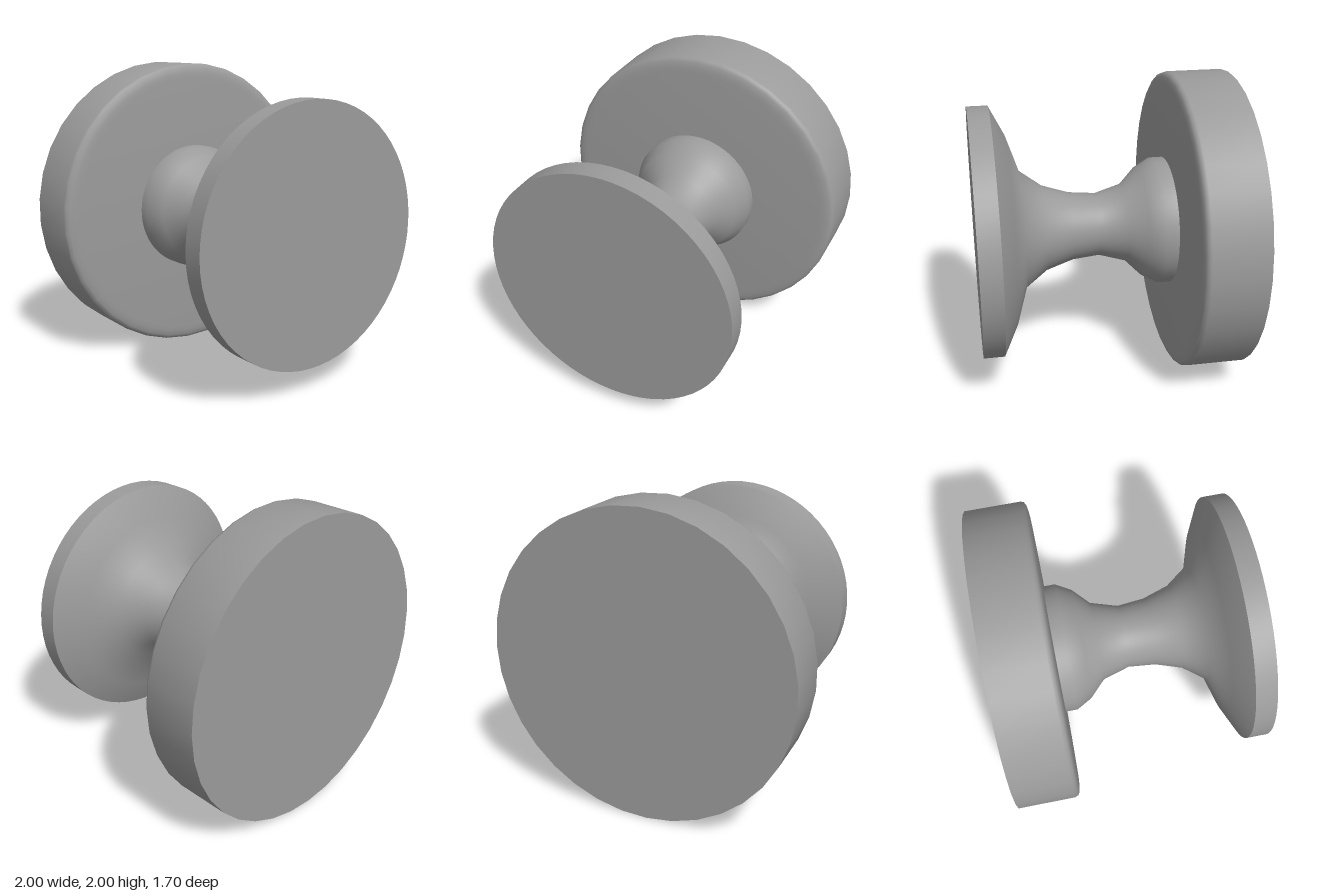
import * as THREE from 'three';
import { toCreasedNormals } from 'three/addons/utils/BufferGeometryUtils.js';

const material = new THREE.MeshStandardMaterial({ color: 0x9b9b9b });

// Turns a [z, radius] profile, listed back to front, around the z axis.
function turned(name, profile, sides) {
  const points = profile.map(([z, r]) => new THREE.Vector2(r, z));
  const lathe = new THREE.LatheGeometry(points, sides, Math.PI / 2);
  lathe.rotateX(Math.PI / 2);
  const mesh = new THREE.Mesh(toCreasedNormals(lathe, 0.8), material);
  mesh.name = name;
  return mesh;
}

export function createModel() {
  const model = new THREE.Group();
  model.name = 'knob';

  // Thick mounting plate with a softened front rim
  const plate = turned('backPlate', [
    [-0.85, 0], [-0.85, 1], [-0.48, 1], [-0.46, 0.992],
    [-0.448, 0.97], [-0.442, 0.935], [-0.439, 0.9], [-0.439, 0],
  ], 35);
  plate.position.set(0, 1, 0);

  // Waisted neck flaring out into the flat-faced handle
  const handle = turned('neckAndHandle', [
    [-0.45, 0.428], [-0.36, 0.428], [-0.255, 0.37], [-0.15, 0.263],
    [0.03, 0.21], [0.21, 0.227], [0.39, 0.285], [0.535, 0.392],
    [0.615, 0.635], [0.712, 0.829], [0.85, 0.829], [0.85, 0],
  ], 64);
  handle.position.set(-0.004, 1, 0);

  model.add(plate, handle);
  return model;
}
